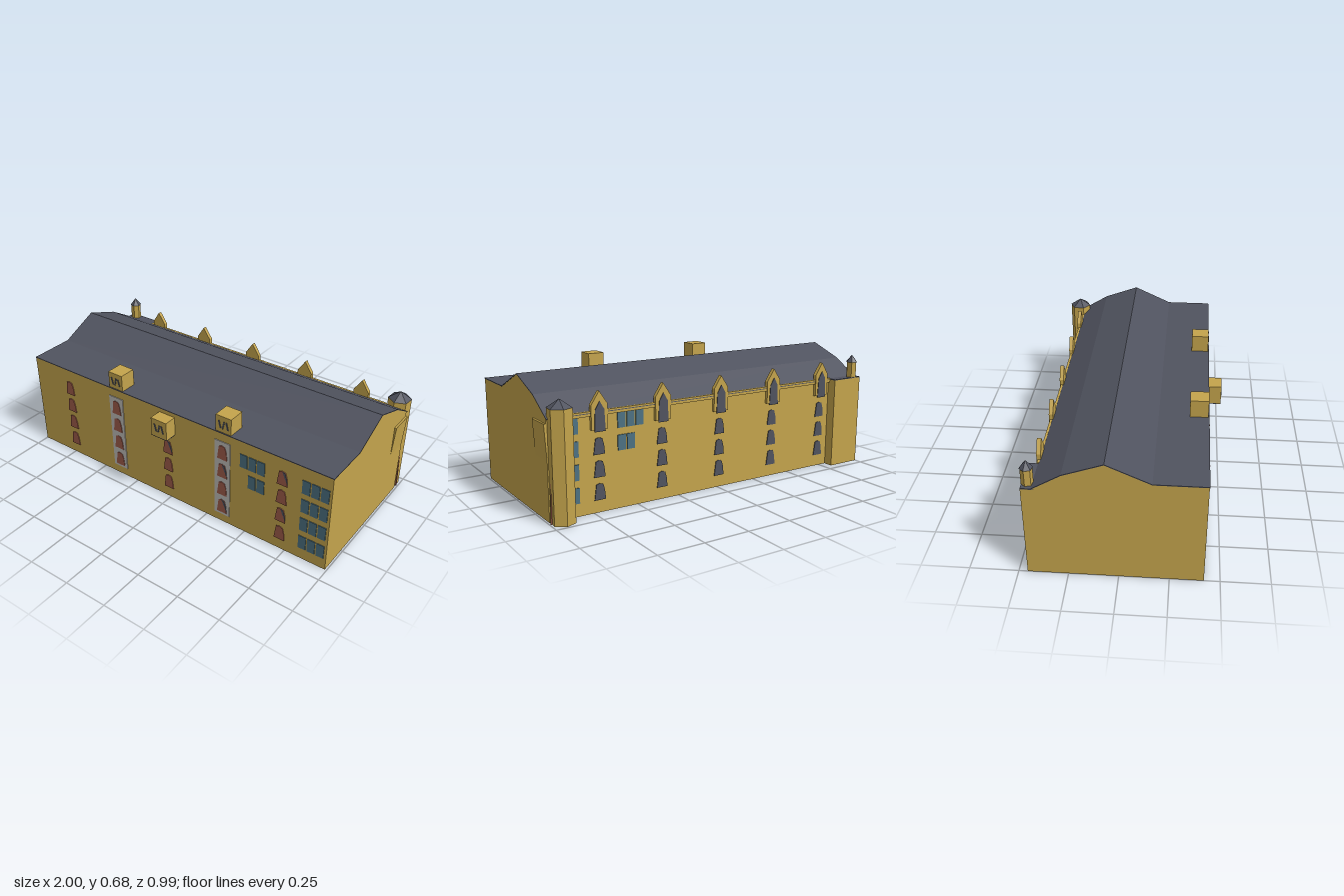
import * as THREE from 'three';

const mat = (name, color, extra = {}) =>
  Object.assign(new THREE.MeshStandardMaterial({ color, ...extra }), { name });

export function createModel() {
  const gold = mat('goldStone', 0xc4a44c);
  const slate = mat('slate', 0x50535f);
  const brick = mat('brickRed', 0x9e5b4a);
  const grey = mat('paleGrey', 0xbfbdb8);
  const blue = mat('blueGlass', 0x4c7182);
  const model = new THREE.Group();
  model.name = 'longHall';

  const add = (name, geometry, material, x = 0, y = 0, z = 0, parent = model) => {
    const mesh = new THREE.Mesh(geometry, material);
    mesh.name = name;
    mesh.position.set(x, y, z);
    parent.add(mesh);
    return mesh;
  };
  // Box given by its minimum and maximum corners
  const box = (name, material, x0, x1, y0, y1, z0, z1) =>
    add(name, new THREE.BoxGeometry(x1 - x0, y1 - y0, z1 - z0), material,
      (x0 + x1) / 2, (y0 + y1) / 2, (z0 + z1) / 2);
  const extrude = (points, depth) => new THREE.ExtrudeGeometry(
    new THREE.Shape(points.map(p => new THREE.Vector2(...p))), { depth, bevelEnabled: false });
  // Cross-section in (z, y) swept along x
  const sweepX = (points, x0, x1) => {
    const g = extrude(points.map(([z, y]) => [-z, y]), x1 - x0);
    return g.rotateY(Math.PI / 2).translate(x0, 0, 0);
  };

  // Main body and thin roof skin
  const roofLine = [[0.422, 0.575], [0.16, 0.575], [-0.06, 0.675], [-0.26, 0.604], [-0.4, 0.52]];
  add('walls', sweepX([[0.42, 0], ...roofLine.map(([z, y]) => [Math.min(z, 0.42), y]), [-0.4, 0]],
    -1, 0.99), gold);
  const skin = [...roofLine, [-0.412, 0.513]];
  add('roof', sweepX([...skin, ...skin.map(([z, y]) => [z, y + 0.004]).reverse()], -1, 0.992), slate);
  box('backParapet', gold, -0.8, 0.87, 0.5, 0.525, -0.412, -0.4);

  // Roof boxes and the hanging front box, each with slanted slits
  const slits = (x, y, z) => {
    for (const i of [-1, 0, 1]) {
      const s = add('slit', new THREE.BoxGeometry(0.008, 0.045, 0.004), slate, x + i * 0.023, y, z);
      s.rotation.z = i === 0 ? -0.25 : 0.25;
    }
  };
  for (const x of [-0.37, 0.355]) {
    box('roofBox', gold, x - 0.048, x + 0.048, 0.56, 0.675, 0.32, 0.416);
    slits(x, 0.625, 0.417);
    box('greyPanel', grey, x - 0.05, x + 0.048, 0.052, 0.527, 0.419, 0.424);
  }
  box('hangingBox', gold, -0.06, 0.043, 0.446, 0.552, 0.41, 0.492);
  box('hangingBoxBase', slate, -0.06, 0.043, 0.442, 0.446, 0.41, 0.492);
  slits(-0.008, 0.5, 0.493);

  // Arched window plates: four rows in five columns, front and back
  const arch = extrude([[-0.031, 0], [0.031, 0], [0.026, 0.05], [0.017, 0.08], [-0.002, 0.086],
    [-0.02, 0.08]], 0.004);
  const chip = extrude([[0.031, 0.014], [0.026, 0.05], [0.016, 0.08], [-0.001, 0.085]], 0.003);
  const columns = [-0.73, -0.37, -0.008, 0.355, 0.717];
  const rows = [0.067, 0.185, 0.302, 0.418];
  const chips = ['4,1', '3,0', '3,2', '2,2', '4,3'];
  columns.forEach((x, c) => rows.forEach((y, r) => {
    add('frontWindow', arch, brick, x, y, 0.423);
    if (chips.includes(`${c},${r}`)) add('windowShade', chip, slate, x, y, 0.4255);
    if (r < 3) add('backWindow', arch, slate, x, y, -0.402).rotation.y = Math.PI;
  }));

  // Gabled dormers rising over the back eave
  const dormer = extrude([[-0.045, 0.43], [0.045, 0.43], [0.045, 0.555], [0, 0.622],
    [-0.045, 0.555]], 0.022);
  const dormerWindow = extrude([[-0.03, 0.42], [0.03, 0.42], [0.025, 0.53], [0, 0.572],
    [-0.025, 0.53]], 0.004);
  for (const x of columns) {
    add('dormer', dormer, gold, x, 0, -0.417);
    add('dormerWindow', dormerWindow, slate, x, 0, -0.42);
  }

  // Blue panes in groups of three on both long sides
  const pane = (x, y) => {
    box('frontPane', blue, x, x + 0.044, y, y + 0.08, 0.418, 0.424);
    box('backPane', blue, x, x + 0.044, y, y + 0.08, -0.405, -0.398);
  };
  for (let i = 0; i < 3; i++) {
    for (const y of rows) pane(0.828 + i * 0.052, y + 0.002);
    pane(0.464 + i * 0.052, rows[3] + 0.002);
    if (i > 0) pane(0.464 + i * 0.052, rows[2] + 0.002);
  }

  // Corner turret with pointed slate cap and a red sliver at its foot
  const hex = (r0, r1, h, turn) =>
    new THREE.CylinderGeometry(r0, r1, h, 6, 1).toNonIndexed().rotateY(turn);
  const prism = (r0, r1, h, turn) => {
    const g = hex(r0, r1, h, turn);
    g.computeVertexNormals();
    return g;
  };
  add('turret', prism(0.063, 0.063, 0.57, -0.1), gold, 0.932, 0.285, -0.43);
  add('turretCap', prism(0.0001, 0.064, 0.042, -0.1), slate, 0.932, 0.591, -0.43);
  add('redSliver', extrude([[-0.065, 0], [0.062, 0], [0.05, 0.31], [-0.055, 0.31]], 0.007),
    brick, 0.932, 0, -0.424);

  // Corner buttress with slate top and small turret
  box('buttress', gold, -1, -0.8, 0, 0.516, -0.455, -0.39);
  box('buttressTop', slate, -1, -0.8, 0.516, 0.521, -0.455, -0.39);
  add('smallTurret', prism(0.03, 0.03, 0.12, 0.3), gold, -0.955, 0.55, -0.428);
  add('smallTurretCap', prism(0.0001, 0.034, 0.042, 0.3), slate, -0.955, 0.631, -0.428);

  // Shallow raised panel on the end wall, fading out toward its foot
  const panel = new THREE.BoxGeometry(0.012, 0.2, 0.14);
  const p = panel.attributes.position;
  for (let i = 0; i < p.count; i++) if (p.getY(i) < 0) p.setX(i, -0.006);
  panel.computeVertexNormals();
  add('endPanel', panel, gold, 0.995, 0.392, -0.33);

  return model;
}
